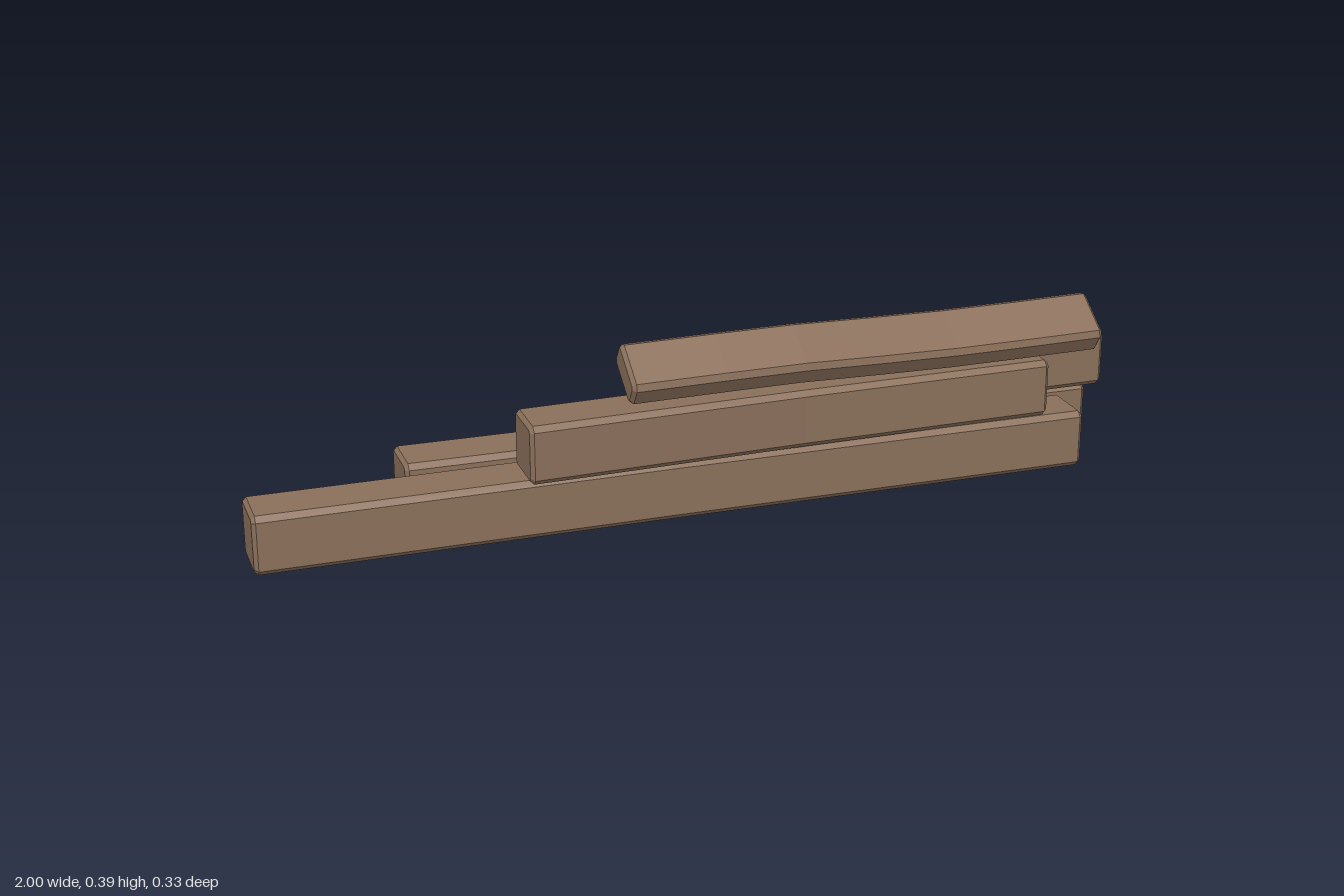
import * as THREE from 'three';

const wood = new THREE.MeshStandardMaterial({ color: 0x8a6f5a, flatShading: true });
wood.name = 'brown wood';

// Chamfered beam swept through path stations [x, y, z]; tilt rolls the section about x.
function beam(name, height, depth, path, tilt = 0, bevel = 0.012) {
  const pos = [], idx = [], N = 8;
  const ring = ([x, y, z], inset, c) => {
    const w = depth / 2 - inset, h = height / 2 - inset;
    const pts = [[w, c - h], [w, h - c], [w - c, h], [c - w, h],
      [-w, h - c], [-w, c - h], [c - w, -h], [w - c, -h]];
    for (const [u, v] of pts) {
      const dz = -u * Math.cos(tilt) + v * Math.sin(tilt);
      const dy = u * Math.sin(tilt) + v * Math.cos(tilt);
      pos.push(x, y + dy, z + dz);
    }
  };
  const last = path.length - 1;
  const first = path[0], end = path[last];
  // Bevelled start, body stations, bevelled end
  ring(first, bevel * 0.7, bevel * 0.5);
  path.forEach(([x, y, z], i) => {
    const shift = i === 0 ? bevel * 0.7 : i === last ? -bevel * 0.7 : 0;
    ring([x + shift, y, z], 0, bevel);
  });
  ring(end, bevel * 0.7, bevel * 0.5);
  const rings = path.length + 2;
  for (let i = 0; i < rings - 1; i++) {
    for (let k = 0; k < N; k++) {
      const a = i * N + k, b = i * N + (k + 1) % N;
      idx.push(a, b, b + N, a, b + N, a + N);
    }
  }
  // End caps
  const top = (rings - 1) * N;
  for (let k = 1; k < N - 1; k++) {
    idx.push(0, k + 1, k, top, top + k, top + k + 1);
  }
  const geo = new THREE.BufferGeometry();
  geo.setAttribute('position', new THREE.Float32BufferAttribute(pos, 3));
  geo.setIndex(idx);
  geo.computeVertexNormals();
  const mesh = new THREE.Mesh(geo, wood);
  mesh.name = name;
  return mesh;
}

export function createModel() {
  const group = new THREE.Group();
  group.name = 'beamStack';
  group.add(
    // Bottom layer
    beam('bottomFrontBeam', 0.132, 0.132, [[-1, 0.067, 0.066], [-0.1, 0.069, 0.066], [0.88, 0.068, 0.067]]),
    beam('bottomBackBeam', 0.132, 0.132, [[-0.645, 0.072, -0.1], [0.2, 0.07, -0.099], [0.97, 0.068, -0.099]]),
    // Middle layer
    beam('middleFrontBeam', 0.131, 0.131, [[-0.42, 0.203, 0.1], [0.2, 0.202, 0.078], [0.79, 0.2, 0.065]]),
    beam('middleBackBeam', 0.131, 0.131, [[-0.095, 0.199, -0.068], [0.45, 0.2, -0.072], [1, 0.2, -0.079]]),
    // Top layer: a short plank and a leaning, slightly warped plank
    beam('topBackPlank', 0.068, 0.119, [[0.16, 0.3, -0.033], [0.5, 0.301, -0.033], [0.83, 0.301, -0.032]]),
    beam('leaningPlank', 0.066, 0.128, [
      [-0.19, 0.332, 0.081], [0.02, 0.336, 0.085], [0.2, 0.337, 0.085],
      [0.38, 0.331, 0.079], [0.56, 0.327, 0.075], [0.74, 0.329, 0.077], [0.91, 0.333, 0.082],
    ], 0.61)
  );
  return group;
}
